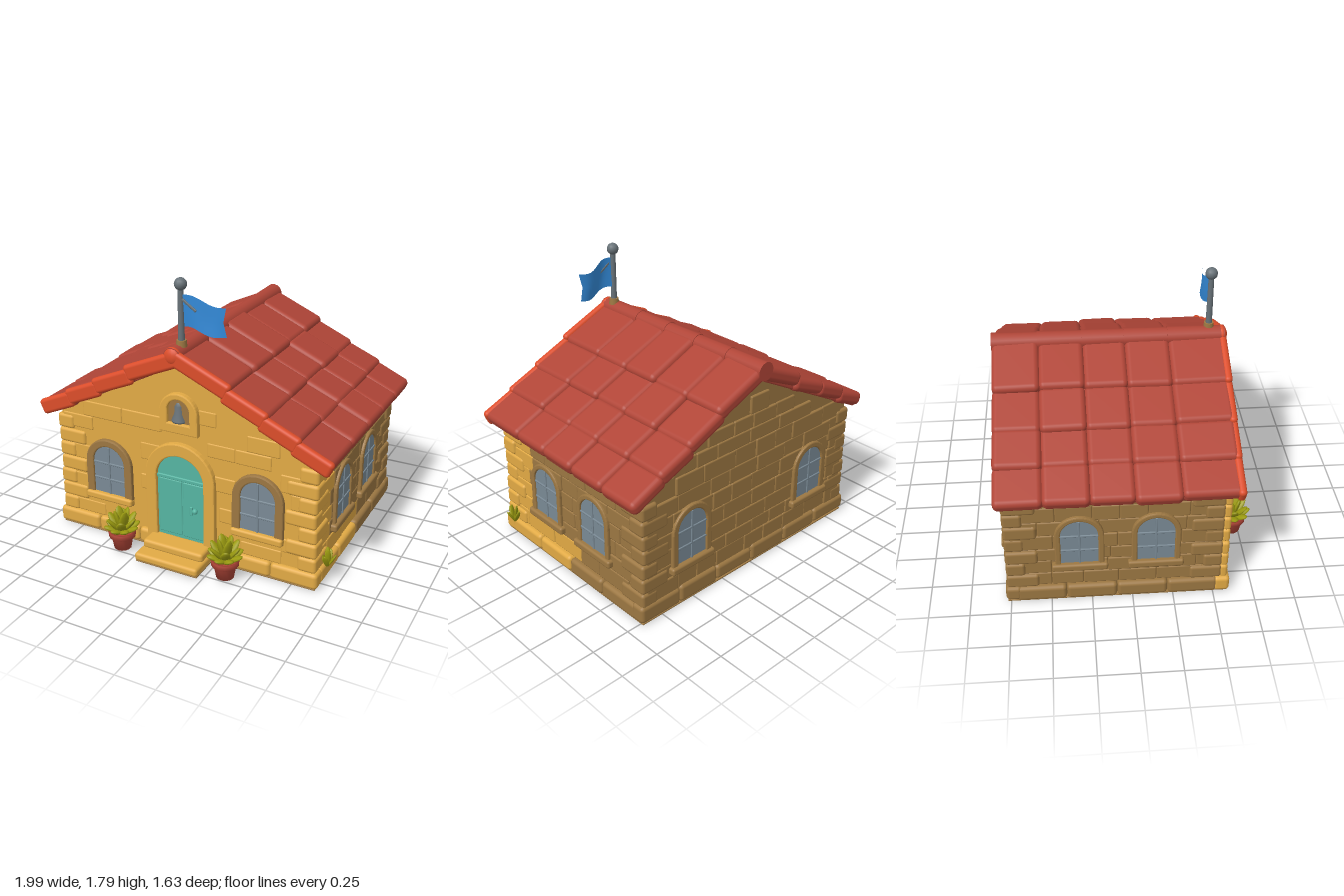
import * as THREE from 'three';
import { RoundedBoxGeometry } from 'three/addons/geometries/RoundedBoxGeometry.js';

const mat = (name, color) => new THREE.MeshStandardMaterial({ name, color });

export function createModel() {
  const M = {
    yellow: mat('yellow plaster', 0xe2aa45),
    brown: mat('brown stone', 0x9c7742),
    red: mat('red tile', 0xb04537),
    orange: mat('orange terracotta', 0xdc4d2a),
    glass: mat('grey glass', 0x7a8a95),
    teal: mat('teal door', 0x56b5a2),
    green: mat('olive leaf', 0x9c9c10),
    blue: mat('blue flag', 0x338ad8),
    metal: mat('grey metal', 0x687278),
  };
  M.blue.side = THREE.DoubleSide;
  const model = new THREE.Group();
  model.name = 'cottage';

  let seed = 7;
  const rnd = () => (seed = (seed * 16807) % 2147483647) / 2147483647;

  const add = (parent, name, geo, material, x = 0, y = 0, z = 0) => {
    const m = new THREE.Mesh(geo, material);
    m.name = name;
    m.position.set(x, y, z);
    parent.add(m);
    return m;
  };
  const block = (parent, name, w, h, d, material, x, y, z, r = 0.015, seg = 1) =>
    add(parent, name, new RoundedBoxGeometry(w, h, d, seg, Math.min(r, w / 2.1, h / 2.1, d / 2.1)), material, x, y, z);
  const group = (name, parent = model) => {
    const g = new THREE.Group();
    g.name = name;
    parent.add(g);
    return g;
  };

  // Arched outline of half width w from y0 up to y1
  const trace = (path, w, y0, y1) => {
    path.moveTo(-w, y0);
    path.lineTo(w, y0);
    path.lineTo(w, y1 - w);
    path.absarc(0, y1 - w, w, 0, Math.PI, false);
    path.lineTo(-w, y0);
    return path;
  };
  const arch = (w, y0, y1, depth, hole) => {
    const s = trace(new THREE.Shape(), w, y0, y1);
    if (hole) s.holes.push(trace(new THREE.Path(), ...hole));
    const b = hole ? 0.008 : 0.002;
    return new THREE.ExtrudeGeometry(s, { depth, bevelEnabled: true, bevelSize: b, bevelThickness: b, bevelOffset: -b, bevelSegments: 2, curveSegments: 10 });
  };

  // Wall core with a separate yellow front skin
  const roofLine = x => 1.29 - 0.515 * Math.abs(x);
  const gable = (name, depth, z, material) => {
    const s = new THREE.Shape([[-0.87, 0.008], [0.87, 0.008], [0.87, 0.83], [0, 1.3], [-0.87, 0.83]].map(p => new THREE.Vector2(...p)));
    add(model, name, new THREE.ExtrudeGeometry(s, { depth, bevelEnabled: false }), material, 0, 0, z);
  };
  gable('wallCore', 1.28, -0.75, M.brown);
  gable('frontWall', 0.042, 0.53, M.yellow);

  // Staggered stone courses; u runs along the wall, pick gives the colour, keep the share of stones laid
  const courses = (name, length, pos, rotY, isGable, pick, out, keep = 1) => {
    const g = group(name);
    g.position.set(...pos);
    g.rotation.y = rotY;
    for (let y = 0.11; y < (isGable ? 1.2 : 0.8);) {
      const h = 0.09 + 0.03 * rnd();
      for (let u = -length / 2; u < length / 2 - 0.03;) {
        const w = Math.min(0.15 + 0.15 * rnd(), length / 2 - u);
        const c = u + w / 2;
        const far = Math.max(Math.abs(u), Math.abs(u + w));
        if (rnd() < keep && (!isGable || y + h < roofLine(far) + 0.03))
          block(g, 'stone', w, h, 0.04 + out * rnd(), pick(c, y), c, y + h / 2, -0.01, 0.009);
        u += w;
      }
      y += h;
    }
  };
  const leftPick = (u, y) => ((-u - 0.095 > 0.3 && y < 0.68) || (y < 0.2 && -u - 0.095 > -0.2) ? M.yellow : M.brown);
  courses('frontStones', 1.72, [0, 0, 0.566], 0, true, () => M.yellow, 0.006, 0.4);
  courses('backStones', 1.72, [0, 0, -0.75], Math.PI, true, () => M.brown, 0.014);
  courses('leftStones', 1.28, [0.87, 0, -0.095], Math.PI / 2, false, leftPick, 0.014);
  courses('rightStones', 1.28, [-0.87, 0, -0.095], -Math.PI / 2, false, () => M.brown, 0.014);

  // Corner stones, alternating long and short
  const corners = group('cornerStones');
  for (const s of [-1, 1]) for (let i = 0; i < 7; i++) {
    const y = 0.155 + i * 0.098, w = i % 2 ? 0.2 : 0.12, d = i % 2 ? 0.12 : 0.2;
    const e = 0.89 + 0.012 * rnd();
    const fd = s > 0 ? d : 0.05;
    block(corners, 'frontCornerStone', w, 0.097, fd, M.yellow, s * (e - w / 2), y, 0.588 - fd / 2, 0.02, 2);
    if (s < 0) block(corners, 'sideCornerStone', 0.1, 0.097, d, M.brown, -e + 0.05, y, 0.55 - d / 2, 0.02, 2);
    block(corners, 'backCornerStone', w, 0.097, d, M.brown, s * (e - w / 2), y, -0.77 + d / 2, 0.02, 2);
  }

  // Foundation course and brown underside
  const base = group('foundation');
  for (let i = 0; i < 6; i++) {
    const x = -0.763 + i * 0.305;
    block(base, 'frontFoundation', 0.305, 0.105, 0.1, M.yellow, x, 0.06, 0.553, 0.025, 2);
    block(base, 'backFoundation', 0.305, 0.1 + 0.02 * rnd(), 0.1, M.brown, x, 0.067, -0.73, 0.025, 2);
  }
  for (let i = 0; i < 4; i++) {
    const z = 0.37 - i * 0.31;
    block(base, 'leftFoundation', 0.1, 0.105, 0.31, i < 2 ? M.yellow : M.brown, 0.865, 0.06, z, 0.025, 2);
    block(base, 'rightFoundation', 0.1, 0.105, 0.31, M.brown, -0.865, 0.06, z, 0.025, 2);
  }
  block(base, 'floorUnderside', 1.8, 0.009, 1.36, M.brown, 0, 0.0045, -0.09, 0.002);
  block(base, 'stepUnderside', 0.43, 0.009, 0.21, M.brown, 0, 0.0045, 0.69, 0.002);

  // Arched windows with bars and a sill, facing local +z
  const makeWindow = (name, x, z, rotY, fw, sill) => {
    const g = group(name);
    g.position.set(x, 0, z);
    g.rotation.y = rotY;
    add(g, 'frame', arch(fw, 0.25, 0.64 + (fw - 0.12) * 0.8, 0.024, [0.113, 0.285, 0.63]), M.brown);
    add(g, 'glass', arch(0.126, 0.275, 0.638, 0.018), M.glass);
    block(g, 'verticalBar', 0.014, 0.34, 0.016, M.glass, 0, 0.455, 0.019, 0.004);
    for (const y of [0.4, 0.51]) block(g, 'crossBar', 0.23, 0.014, 0.016, M.glass, 0, y, 0.019, 0.004);
    block(g, 'sill', 0.34, 0.05, 0.06, sill, 0, 0.272, 0.02, 0.015, 2);
  };
  for (const s of [-1, 1]) {
    makeWindow('frontWindow', s * 0.52, 0.567, 0, 0.168, M.yellow);
    makeWindow('backWindow', s * 0.52, -0.751, Math.PI, 0.155, M.brown);
    for (const z of [0.14, -0.32]) makeWindow('sideWindow', s * 0.871, z, s * Math.PI / 2, 0.148, M.brown);
  }

  // Door with surround, planks and handle
  const door = group('door');
  door.position.z = 0.567;
  add(door, 'doorSurround', arch(0.24, 0.02, 0.77, 0.033, [0.164, 0.1, 0.686]), M.yellow);
  add(door, 'doorPanel', arch(0.176, 0.1, 0.696, 0.016), M.teal);
  block(door, 'doorRail', 0.33, 0.025, 0.02, M.teal, 0, 0.525, 0.017, 0.006);
  block(door, 'leftLeaf', 0.145, 0.38, 0.02, M.teal, 0.088, 0.32, 0.014, 0.006);
  block(door, 'rightLeaf', 0.165, 0.38, 0.02, M.teal, -0.075, 0.32, 0.012, 0.006);
  add(door, 'knob', new THREE.SphereGeometry(0.018, 10, 8), M.teal, 0.105, 0.335, 0.035);
  block(door, 'handlePlate', 0.02, 0.06, 0.012, M.teal, 0.075, 0.325, 0.026, 0.004);

  // Doorsteps
  block(model, 'lowerStep', 0.44, 0.055, 0.24, M.yellow, 0, 0.035, 0.685, 0.02, 2);
  block(model, 'upperStep', 0.42, 0.06, 0.14, M.yellow, 0, 0.083, 0.645, 0.02, 2);

  // Bell niche
  const niche = group('bellNiche');
  niche.position.z = 0.567;
  add(niche, 'nicheFrame', arch(0.13, 0.84, 1.1, 0.033, [0.075, 0.905, 1.06]), M.yellow);
  add(niche, 'nicheBack', arch(0.09, 0.89, 1.07, 0.017), M.brown);
  const bell = [[0, 0.13], [0.02, 0.125], [0.03, 0.1], [0.034, 0.05], [0.05, 0.01], [0.048, 0], [0, 0.01]].reverse();
  add(niche, 'bell', new THREE.LatheGeometry(bell.map(p => new THREE.Vector2(...p)), 16), M.metal, -0.008, 0.91, 0.0);

  // Roof: overlapping tiles on both slopes, each lying flatter than the slope, with orange front ends
  const roof = group('roof');
  const xs = [0.0, 0.325, 0.56, 0.765, 0.965];
  const zs = [-0.8, -0.52, -0.25, 0.01, 0.28, 0.625];
  for (const s of [-1, 1]) {
    const deck = block(roof, 'roofDeck', 1.06, 0.04, 1.38, M.red, s * 0.475, 1.05, -0.09, 0.01);
    deck.rotation.z = -s * 0.48;
    for (let c = 0; c < 4; c++) {
      const xc = (xs[c] + xs[c + 1]) / 2, len = (xs[c + 1] - xs[c]) / 0.9 + 0.035;
      const y = 1.338 - 0.53 * xc;
      for (let r = 0; r < 5; r++) {
        const t = block(roof, 'roofTile', len, 0.086 + 0.012 * rnd(), zs[r + 1] - zs[r] + 0.008, M.red,
          s * (xc + 0.016 * (rnd() - 0.6)), y + 0.012 * (rnd() - 0.5), (zs[r] + zs[r + 1]) / 2, 0.035, 3);
        t.rotation.z = -s * (0.38 + 0.05 * rnd());
        t.rotation.x = 0.04 * (rnd() - 0.5);
      }
      const cap = block(roof, 'frontTileEnd', len, 0.102, 0.05, M.orange, s * xc, y, 0.617, 0.025, 3);
      cap.rotation.z = -s * 0.41;
    }
  }
  for (let i = 0; i < 5; i++) {
    const d = zs[i + 1] - zs[i];
    const r = add(roof, 'ridgeTile', new THREE.CylinderGeometry(0.056, 0.06, d + 0.01, 14), M.red, -0.02, 1.335, zs[i] + d / 2);
    r.rotation.x = Math.PI / 2;
  }
  const end = add(roof, 'ridgeEnd', new THREE.SphereGeometry(0.058, 14, 10), M.orange, -0.02, 1.335, 0.615);
  end.scale.z = 0.6;

  // Flag and pole
  const flag = group('flagpole');
  flag.position.set(-0.005, 0, 0.535);
  add(flag, 'poleBase', new THREE.CylinderGeometry(0.03, 0.034, 0.04, 12), M.brown, 0, 1.395, 0);
  add(flag, 'pole', new THREE.CylinderGeometry(0.017, 0.02, 0.37, 12), M.metal, 0, 1.565, 0);
  add(flag, 'poleBall', new THREE.SphereGeometry(0.038, 12, 10), M.metal, 0, 1.75, 0);
  const cloth = new THREE.PlaneGeometry(0.27, 0.18, 12, 4);
  const p = cloth.attributes.position;
  for (let i = 0; i < p.count; i++) {
    const u = p.getX(i) / 0.27 + 0.5, v = p.getY(i);
    p.setXYZ(i, p.getX(i) - 0.02 * (1 - Math.abs(v) / 0.09) * u, v * (1.08 - 0.1 * u) - 0.05 * u + 0.014 * Math.sin(u * 7), 0.012 * Math.sin(u * 6 + v * 6) - 0.01 * u);
  }
  cloth.computeVertexNormals();
  add(flag, 'flag', cloth, M.blue, 0.15, 1.595, 0);
  const tie = block(flag, 'flagTie', 0.11, 0.016, 0.012, M.metal, 0.06, 1.635, 0.012, 0.005);
  tie.rotation.z = -0.6;

  // Leafy plants: tiers of broad leaves, each [count, tilt, length]
  const leafGeo = new THREE.SphereGeometry(0.5, 7, 6);
  leafGeo.translate(0, 0.5, 0);
  const leaves = (parent, y, tiers, size) => {
    tiers.forEach(([n, tilt, len], k) => {
      for (let i = 0; i < n; i++) {
        const spin = group('leafStem', parent);
        spin.position.y = y;
        spin.rotation.y = (i / n) * Math.PI * 2 + k * 0.5;
        const leaf = add(spin, 'leaf', leafGeo, M.green);
        leaf.rotation.x = tilt;
        leaf.scale.set(size, len, size * 0.45);
      }
    });
  };
  const pot = [[0, 0], [0.055, 0], [0.07, 0.085], [0.085, 0.085], [0.088, 0.12], [0.074, 0.12], [0.07, 0.105], [0, 0.105]];
  for (const s of [-1, 1]) {
    const g = group('pottedPlant');
    g.position.set(s * 0.365, 0.012, 0.705);
    add(g, 'pot', new THREE.LatheGeometry(pot.map(q => new THREE.Vector2(...q)), 14), M.red);
    leaves(g, 0.105, [[8, 1.1, 0.13], [6, 0.7, 0.155], [4, 0.28, 0.175]], 0.068);
  }
  const sprig = group('wallSprig');
  sprig.position.set(0.93, 0.11, 0.47);
  leaves(sprig, 0, [[4, 0.5, 0.11], [2, 0.15, 0.13]], 0.038);

  return model;
}
